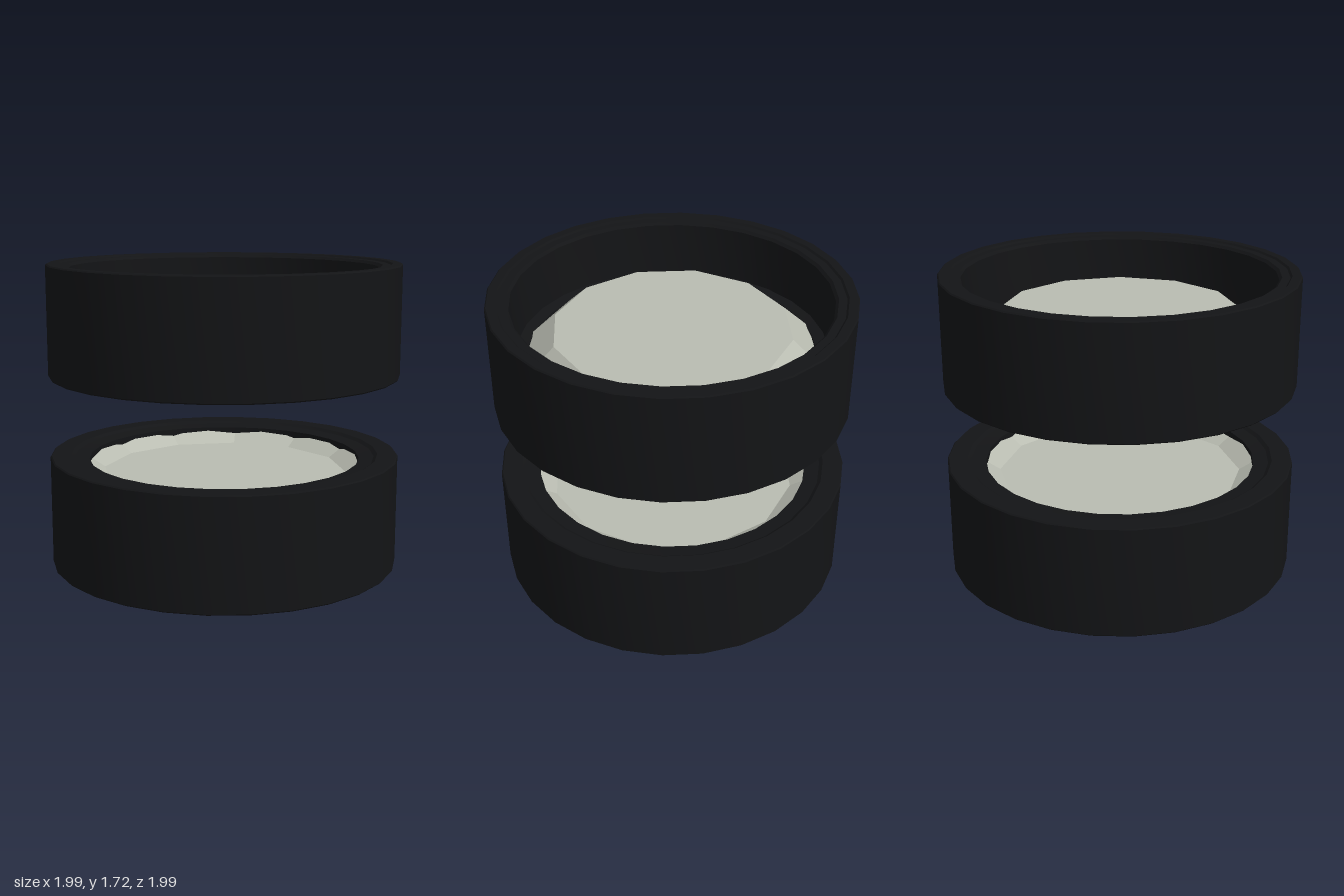
import * as THREE from 'three';
import { toCreasedNormals } from 'three/addons/utils/BufferGeometryUtils.js';

const RING_HEIGHT = 0.63;

// Closed solid turned around the y axis (profile runs counter-clockwise)
function turned(name, profile, sides, color, crease) {
  const points = profile.map(([r, y]) => new THREE.Vector2(r, y));
  const geometry = new THREE.LatheGeometry(points, sides);
  const mesh = new THREE.Mesh(
    toCreasedNormals(geometry, crease),
    new THREE.MeshStandardMaterial({ color })
  );
  mesh.name = name;
  return mesh;
}

// One lens in its ring: domed side up, hollow side down
function lensUnit(name) {
  const unit = new THREE.Group();
  unit.name = name;

  // Ring: straight bore down to a ledge around the lens, retaining lip below
  unit.add(turned('ring', [
    [0.988, 0], [0.995, 0.007], [0.995, 0.623], [0.988, RING_HEIGHT],
    [0.94, RING_HEIGHT], [0.93, 0.62], [0.885, 0.62], [0.87, 0.605],
    [0.855, 0.3], [0.79, 0.29], [0.775, 0.06], [0.775, 0.025],
    [0.86, 0.015], [0.88, 0], [0.988, 0],
  ], 28, 0x131416, 0.4));

  // Lens: coarse meniscus, its edge seated in the ring wall
  unit.add(turned('lens', [
    [0, 0.11], [0.7, 0.11], [0.82, 0.035],
    [0.82, 0.27], [0.66, 0.42], [0, 0.42],
  ], 12, 0xb9bcb1, 0.1));
  return unit;
}

export function createModel() {
  const model = new THREE.Group();
  model.name = 'lensPair';

  const upper = lensUnit('upperLens');
  upper.position.y = 1.085;

  // Lower unit is turned over so the hollow sides face each other
  const lower = lensUnit('lowerLens');
  lower.rotation.x = Math.PI;
  lower.position.y = RING_HEIGHT;

  model.add(upper, lower);
  return model;
}
